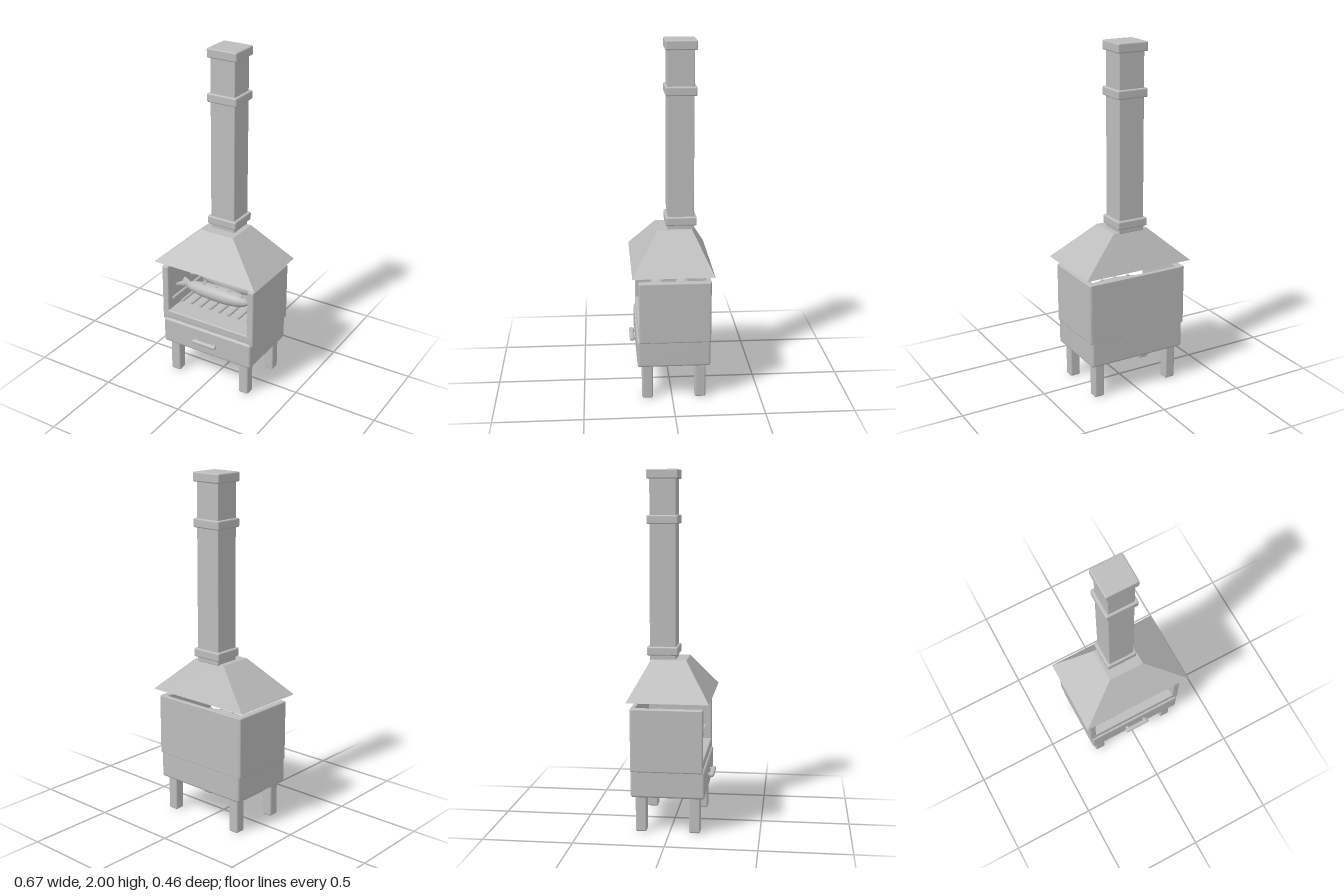
import * as THREE from 'three';
import { RoundedBoxGeometry } from 'three/addons/geometries/RoundedBoxGeometry.js';

export function createModel() {
  const model = new THREE.Group();
  model.name = 'barbecueStove';
  const grey = new THREE.MeshStandardMaterial({ color: 0xbcbcbc });
  grey.name = 'plain grey';

  const add = (name, geometry, parent = model) => {
    const mesh = new THREE.Mesh(geometry, grey);
    mesh.name = name;
    parent.add(mesh);
    return mesh;
  };

  // Box with softened edges, given by its extents on each axis
  const block = (name, [x0, x1], [y0, y1], [z0, z1], radius = 0.008) => {
    const mesh = add(name, new RoundedBoxGeometry(x1 - x0, y1 - y0, z1 - z0, 3, radius));
    mesh.position.set((x0 + x1) / 2, (y0 + y1) / 2, (z0 + z1) / 2);
    return mesh;
  };

  // Legs
  for (const x of [-0.237, 0.237])
    for (const z of [0.14, -0.16])
      block('leg', [x - 0.031, x + 0.031], [0, 0.215], [z - 0.031, z + 0.031], 0.01);

  // Ash drawer with its pull handle
  block('drawerBase', [-0.297, 0.297], [0.203, 0.362], [-0.215, 0.197], 0.014);
  block('handleBar', [-0.08, 0.08], [0.272, 0.297], [0.205, 0.232], 0.011);
  for (const x of [-0.06, 0.06])
    block('handleStem', [x - 0.009, x + 0.009], [0.276, 0.293], [0.19, 0.215], 0.004);

  // Open-fronted firebox
  block('fireboxFloor', [-0.305, 0.305], [0.365, 0.415], [-0.205, 0.188]);
  block('fireboxBack', [-0.3, 0.3], [0.35, 0.705], [-0.216, -0.19], 0.005);
  for (const s of [-1, 1])
    block('fireboxSide', s < 0 ? [-0.308, -0.267] : [0.267, 0.308], [0.35, 0.705], [-0.214, 0.187]);

  // Grill rods running front to back
  for (let i = -4; i <= 4; i++) {
    const rod = add('grillRod', new THREE.CylinderGeometry(0.009, 0.009, 0.35, 12));
    rod.rotation.x = Math.PI / 2;
    rod.position.set(i * 0.0635, 0.49, -0.02);
  }

  // Two fish lying on the grill
  const profile = [[0, -0.22], [0.018, -0.21], [0.031, -0.17], [0.041, -0.11], [0.047, -0.02],
    [0.047, 0.06], [0.041, 0.13], [0.028, 0.18], [0.014, 0.204], [0, 0.212]]
    .map(([r, l]) => new THREE.Vector2(r, l));
  const tailShape = new THREE.Shape();
  tailShape.moveTo(-0.195, -0.013);
  tailShape.lineTo(-0.27, -0.05);
  tailShape.lineTo(-0.25, 0);
  tailShape.lineTo(-0.27, 0.05);
  tailShape.lineTo(-0.195, 0.013);
  tailShape.closePath();
  for (const z of [0.06, -0.09]) {
    const fish = new THREE.Group();
    fish.name = 'fish';
    fish.position.set(0, 0.547, z);
    model.add(fish);
    const body = add('fishBody', new THREE.LatheGeometry(profile, 28), fish);
    body.rotation.z = -Math.PI / 2;
    body.scale.z = 1.1;
    const tail = add('fishTail', new THREE.ExtrudeGeometry(tailShape, { depth: 0.012, bevelEnabled: false }), fish);
    tail.rotation.x = Math.PI / 2;
    tail.position.y = 0.014;
    // Seasoning beads along the upper flank
    [[-0.095, 0.044], [-0.008, 0.047], [0.078, 0.046], [0.162, 0.035]].forEach(([x, y]) => {
      const bead = add('bead', new THREE.SphereGeometry(0.009, 10, 8), fish);
      bead.position.set(x, y, 0.006);
    });
  }

  // Smoke hood: a box whose top is drawn in
  const hood = new THREE.BoxGeometry(2, 2, 2);
  const p = hood.attributes.position;
  for (let i = 0; i < p.count; i++) {
    const top = p.getY(i) > 0;
    const [hx, z0, z1] = top ? [0.107, -0.125, 0.075] : [0.335, -0.232, 0.223];
    p.setXYZ(i, Math.sign(p.getX(i)) * hx, top ? 0.945 : 0.742, p.getZ(i) > 0 ? z1 : z0);
  }
  hood.computeVertexNormals();
  add('smokeHood', hood);

  // Square chimney with three collars
  block('chimneyShaft', [-0.077, 0.077], [0.94, 1.96], [-0.135, 0.013], 0.004);
  for (const [y0, y1] of [[0.968, 1.017], [1.7, 1.75], [1.947, 2]])
    block('chimneyCollar', [-0.093, 0.093], [y0, y1], [-0.15, 0.026]);

  return model;
}
